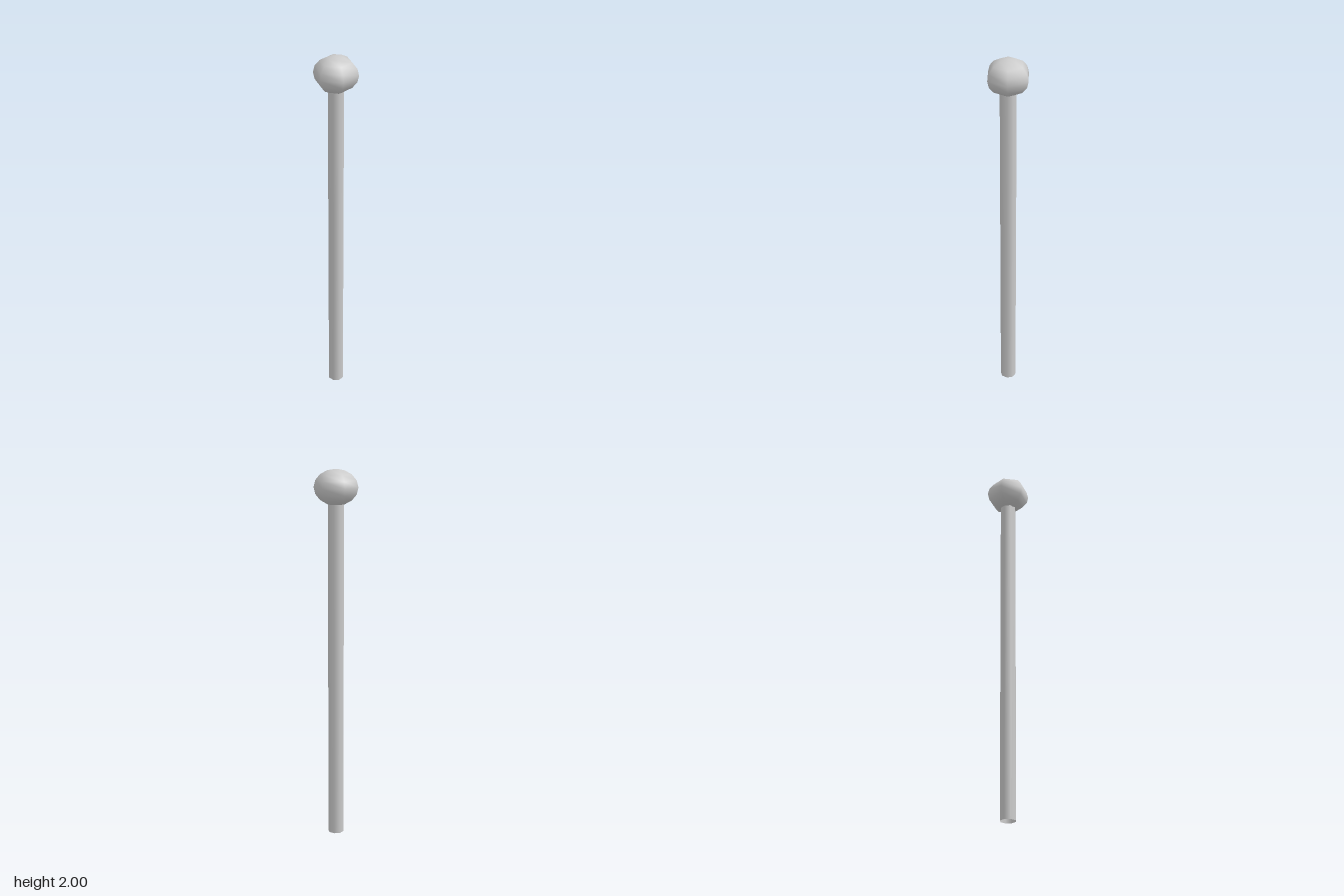
import * as THREE from 'three';

export function createModel() {
  const group = new THREE.Group();
  const material = new THREE.MeshStandardMaterial({ color: 0xcccccc, side: THREE.DoubleSide });

  // Eight-sided hollow shaft with a flat side to the front
  const poleHeight = 1.82;
  const poleGeometry = new THREE.CylinderGeometry(0.043, 0.043, poleHeight, 8, 1, true);
  poleGeometry.rotateY(Math.PI / 8);
  const pole = new THREE.Mesh(poleGeometry, material);
  pole.name = 'pole';
  pole.position.y = poleHeight / 2;
  group.add(pole);

  // Slightly flattened six-sided ball with corners to front and back
  const knobGeometry = new THREE.SphereGeometry(1, 6, 8);
  knobGeometry.rotateY(Math.PI / 2);
  knobGeometry.scale(0.117, 0.095, 0.117);
  const knob = new THREE.Mesh(knobGeometry, material);
  knob.name = 'knob';
  knob.position.y = 1.905;
  group.add(knob);

  return group;
}
